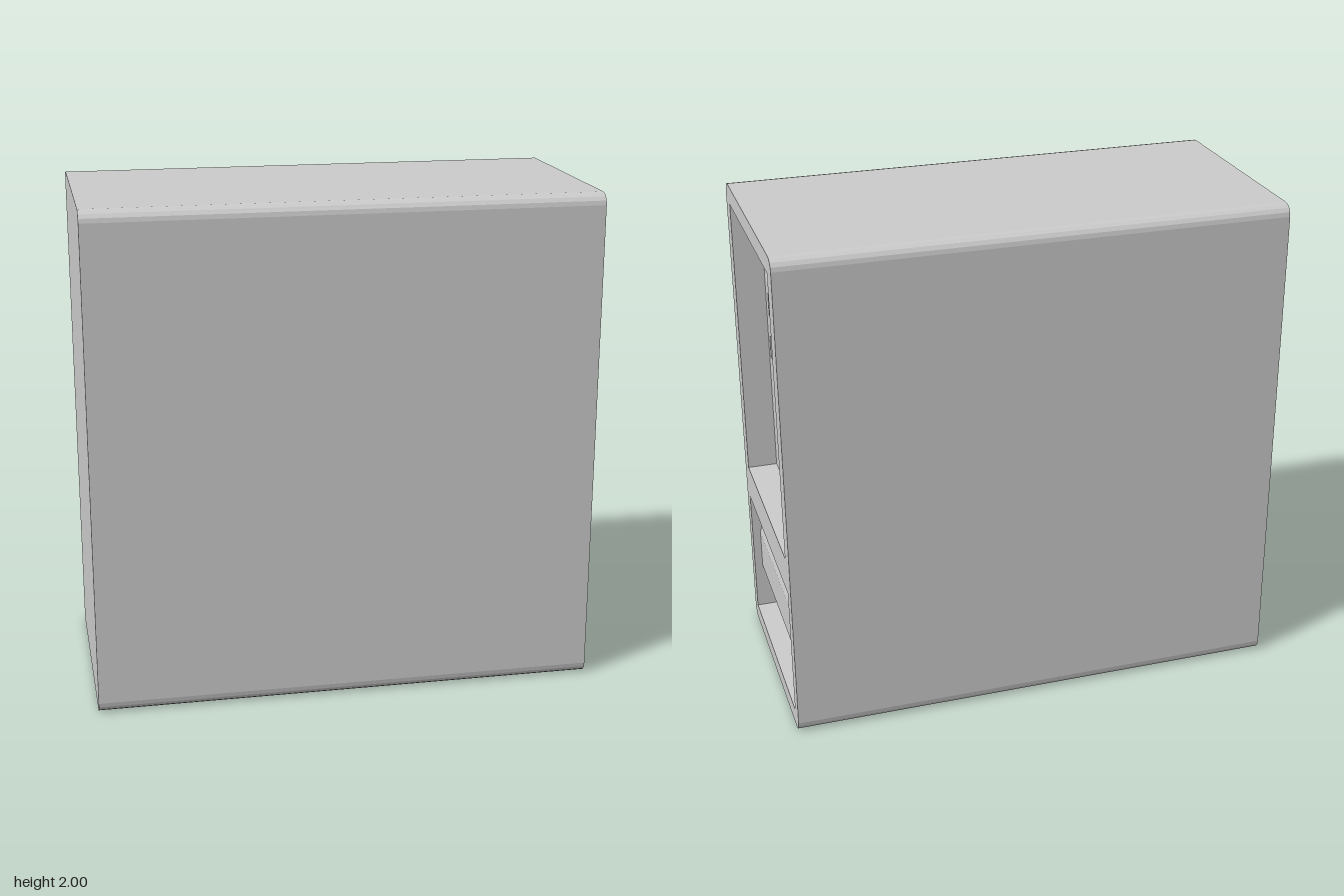
import * as THREE from 'three';

const W = 0.478, R = 0.045;                    // half width and edge radius of the case
const FRONT = 1, PANEL = 0.88, SCOOP = 0.83;   // depths, measured along the length
const material = new THREE.MeshStandardMaterial({ color: 0xcccccc, flatShading: true });

// Corner loops, counter-clockwise seen from the bezel
const rect = (u0, v0, u1, v1) => [[u0, v0], [u1, v0], [u1, v1], [u0, v1]];
const roundedRect = (u0, v0, u1, v1, r, steps = 4) => {
  const centres = [[u1 - r, v0 + r], [u1 - r, v1 - r], [u0 + r, v1 - r], [u0 + r, v0 + r]];
  return centres.flatMap(([cu, cv], k) => Array.from({ length: steps + 1 }, (_, i) => {
    const a = (k - 1 + i / steps) * Math.PI / 2;
    return [cu + r * Math.cos(a), cv + r * Math.sin(a)];
  }));
};
const at = (loop, w) => loop.map(([u, v]) => [u, v, w]);

function addMesh(parent, name, geometry) {
  const mesh = new THREE.Mesh(geometry, material);
  mesh.name = name;
  parent.add(mesh);
  return mesh;
}

// Skin between successive rows of points; front-to-back rows make an inward-facing recess
function loft(rows, closed = true) {
  const n = rows[0].length, index = [];
  for (let r = 0; r < rows.length - 1; r++) {
    for (let i = 0; i < (closed ? n : n - 1); i++) {
      const j = (i + 1) % n, a = r * n + i, b = r * n + j;
      index.push(a, b, b + n, a, b + n, a + n);
    }
  }
  const g = new THREE.BufferGeometry();
  g.setAttribute('position', new THREE.Float32BufferAttribute(rows.flat(2), 3));
  g.setIndex(index);
  const flat = g.toNonIndexed();
  flat.computeVertexNormals();
  return flat;
}

// Flat plate with openings
function plate(loop, w, holes = []) {
  const points = (l) => l.map(([u, v]) => new THREE.Vector2(u, v));
  const shape = new THREE.Shape(points(loop));
  holes.forEach((h) => shape.holes.push(new THREE.Path(points(h))));
  return new THREE.ShapeGeometry(shape).translate(0, 0, w);
}

export function createModel() {
  const model = new THREE.Group();
  model.name = 'computerTower';
  const tower = new THREE.Group();
  tower.name = 'tower';
  tower.rotation.y = Math.PI / 2;              // the bezel faces +x
  model.add(tower);

  // Case
  const outline = roundedRect(-W, 0, W, 2, R);
  const upper = rect(-0.4, 0.76, 0.4, 1.925);
  const lower = rect(-0.415, 0.07, 0.415, 0.612);
  addMesh(tower, 'caseShell', loft([at(outline, -1), at(outline, FRONT)]));
  addMesh(tower, 'backPlate', plate(outline, 1).rotateY(Math.PI));
  addMesh(tower, 'bezel', plate(outline, FRONT, [upper, lower]));

  // Upper recess with its drive panel
  const slots = [rect(-0.35, 1.46, 0.345, 1.555), rect(-0.365, 1.27, 0.36, 1.365)];
  addMesh(tower, 'upperRecessWalls', loft([at(upper, FRONT), at(upper, PANEL)]));
  addMesh(tower, 'drivePanel', plate(rect(-0.4, 0.76, 0.4, 1.6), PANEL, slots));

  // Drive slots
  for (const slot of slots) {
    addMesh(tower, 'driveSlotWalls', loft([at(slot, PANEL), at(slot, PANEL - 0.11)]));
    addMesh(tower, 'driveSlotBack', plate(slot, PANEL - 0.11));
  }

  // Tapered scoop above the slots
  const scoopBack = rect(-0.28, 1.8, 0.28, 1.88);
  addMesh(tower, 'scoopSides', loft([at(rect(-0.4, 1.6, 0.4, 1.925), PANEL), at(scoopBack, SCOOP)]));
  addMesh(tower, 'scoopBack', plate(scoopBack, SCOOP));

  // Round buttons
  for (const u of [0.12, 0.29]) {
    const button = addMesh(tower, 'button', new THREE.CylinderGeometry(0.053, 0.053, 0.03, 24));
    button.rotation.x = Math.PI / 2;
    button.position.set(u, 1.035, PANEL + 0.005);
  }

  // Lower recess with its bulging panel
  addMesh(tower, 'lowerRecessWalls', loft([at(lower, FRONT), at(lower, 0.9)]));
  const profile = [[0.07, 0.9], [0.267, 0.967], [0.433, 0.967], [0.612, 0.92]];
  addMesh(tower, 'lowerPanel', loft(profile.map(([v, w]) => [[-0.415, v, w], [0.415, v, w]]), false));

  return model;
}
